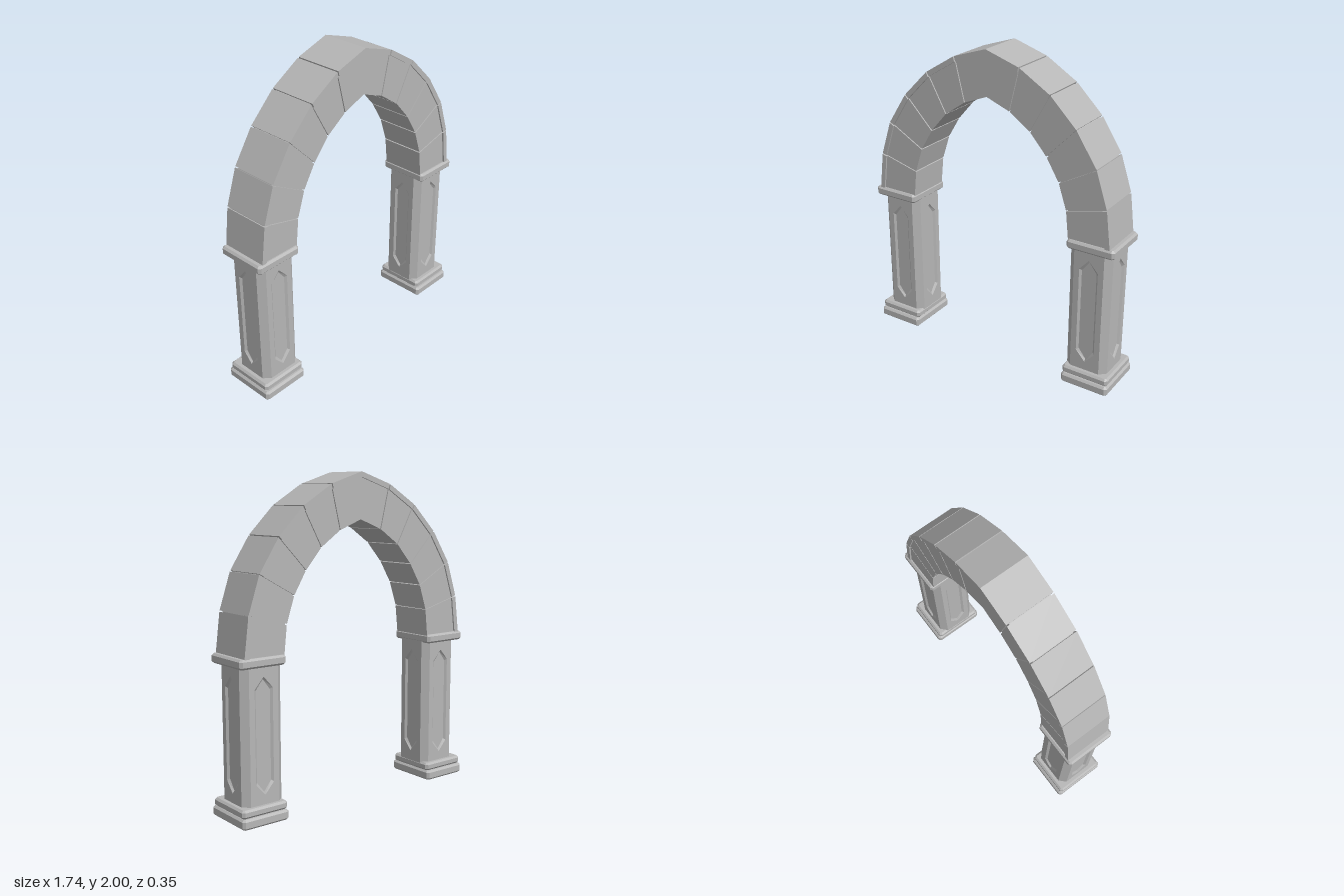
import * as THREE from 'three';

const stone = new THREE.MeshStandardMaterial({ color: 0xb6b6b6, flatShading: true });
stone.name = 'grey stone';

const V = (x, y) => new THREE.Vector2(x, y);
const mix = (a, b, t) => a.clone().lerp(b, t);

function add(parent, geometry, name) {
  const mesh = new THREE.Mesh(geometry, stone);
  mesh.name = name;
  parent.add(mesh);
  return mesh;
}

// Polygon extruded evenly to both sides of z = 0
function slab(points, halfDepth) {
  const g = new THREE.ExtrudeGeometry(new THREE.Shape(points), { depth: halfDepth * 2, bevelEnabled: false });
  return g.translate(0, 0, -halfDepth);
}

// Block with all edges chamfered, centred in x and z, standing on y0
function chamferedBlock(w, d, y0, y1, b = 0.012) {
  const x = w / 2 - b, z = d / 2 - b, c = 0.008;
  const shape = new THREE.Shape([
    V(x, -z + c), V(x, z - c), V(x - c, z), V(-x + c, z),
    V(-x, z - c), V(-x, -z + c), V(-x + c, -z), V(x - c, -z),
  ]);
  const g = new THREE.ExtrudeGeometry(shape, {
    depth: y1 - y0 - 2 * b, bevelThickness: b, bevelSize: b, bevelSegments: 1,
  });
  return g.rotateX(-Math.PI / 2).translate(0, y0 + b, 0);
}

// Long hexagon with pointed ends
function panelOutline(w, y0, y1, point) {
  return [V(w, y0 + point), V(w, y1 - point), V(0, y1), V(-w, y1 - point), V(-w, y0 + point), V(0, y0)];
}

// Sloping wall between a front outline and a deeper outline
function panelWall(front, back, depth) {
  const pos = [];
  front.forEach((a, i) => {
    const j = (i + 1) % front.length;
    const A = [a.x, a.y, 0], B = [front[j].x, front[j].y, 0];
    const C = [back[j].x, back[j].y, -depth], D = [back[i].x, back[i].y, -depth];
    pos.push(...A, ...B, ...C, ...A, ...C, ...D);
  });
  const g = new THREE.BufferGeometry();
  g.setAttribute('position', new THREE.Float32BufferAttribute(pos, 3));
  g.computeVertexNormals();
  return g;
}

// Eight-sided shaft with a sunken pointed panel on each broad face
function createShaft() {
  const shaft = new THREE.Group();
  shaft.name = 'shaft';
  const half = 0.137, flat = 0.097, y0 = 0.09, y1 = 0.93, depth = 0.012;
  const rim = panelOutline(0.061, 0.168, 0.858, 0.068);
  const floor = panelOutline(0.048, 0.184, 0.842, 0.062);
  const face = new THREE.Shape([V(-flat, y0), V(flat, y0), V(flat, y1), V(-flat, y1)]);
  face.holes.push(new THREE.Path(rim));
  const faceGeometry = new THREE.ShapeGeometry(face);
  const floorGeometry = new THREE.ShapeGeometry(new THREE.Shape(floor)).translate(0, 0, -depth);
  const wallGeometry = panelWall(rim, floor, depth);
  const cornerGeometry = new THREE.PlaneGeometry((half - flat) * Math.SQRT2, y1 - y0);
  const cornerRadius = (half + flat) / Math.SQRT2;
  for (let i = 0; i < 4; i++) {
    const side = new THREE.Group();
    side.name = 'shaftSide';
    side.rotation.y = i * Math.PI / 2;
    for (const [g, name] of [[faceGeometry, 'shaftFace'], [wallGeometry, 'panelEdge'], [floorGeometry, 'panel']]) {
      add(side, g, name).position.z = half;
    }
    const corner = add(side, cornerGeometry, 'shaftCorner');
    corner.rotation.y = Math.PI / 4;
    corner.position.set(cornerRadius / Math.SQRT2, (y0 + y1) / 2, cornerRadius / Math.SQRT2);
    shaft.add(side);
  }
  shaft.scale.z = 0.96;
  return shaft;
}

function createColumn(side) {
  const column = new THREE.Group();
  column.name = side > 0 ? 'leftColumn' : 'rightColumn';
  const shaft = createShaft();
  shaft.position.x = side * 0.695;
  column.add(shaft);
  // Plinth and cap overhang the shaft on the outside only
  add(column, chamferedBlock(0.315, 0.35, 0.0, 0.062), 'plinth').position.x = side * 0.7125;
  add(column, chamferedBlock(0.309, 0.325, 0.062, 0.112), 'plinthStep').position.x = side * 0.7105;
  add(column, chamferedBlock(0.309, 0.325, 0.915, 0.972), 'cap').position.x = side * 0.7095;
  return column;
}

// Joint ends of the arch stones, from crown to springing
const OUTER = [V(0, 2), V(0.222, 1.928), V(0.425, 1.804), V(0.595, 1.635), V(0.727, 1.433), V(0.802, 1.208), V(0.833, 0.96)];
const INNER = [V(0, 1.72), V(0.156, 1.66), V(0.294, 1.565), V(0.405, 1.438), V(0.488, 1.3), V(0.541, 1.14), V(0.56, 0.96)];
const RIM = 0.115;

// Stone with a raised rim along its outer edge
function createStone(outer, inner, name) {
  const group = new THREE.Group();
  group.name = name;
  const middle = outer.map((p, i) => mix(p, inner[i], RIM));
  add(group, slab([...middle, ...[...inner].reverse()], 0.143), 'stoneBody');
  add(group, slab([...outer, ...[...middle].reverse()], 0.153), 'stoneRim');
  return group;
}

// Shorten the ends of a run of points to leave open joints
function trim(points, gap = 0.004) {
  const n = points.length - 1;
  const pull = (a, b) => mix(a, b, gap / a.distanceTo(b));
  return points.map((p, i) => (i === 0 ? pull(p, points[1]) : i === n ? pull(p, points[n - 1]) : p));
}

const flip = (points, side) => points.map((p) => V(p.x * side, p.y));
const acrossCrown = (points) => [V(-points[1].x, points[1].y), points[0], points[1]];

function createArch() {
  const arch = new THREE.Group();
  arch.name = 'arch';
  arch.add(createStone(trim(acrossCrown(OUTER)), trim(acrossCrown(INNER)), 'keystone'));
  for (const side of [1, -1]) {
    for (let i = 1; i < OUTER.length - 1; i++) {
      const o = trim(OUTER.slice(i, i + 2)), n = trim(INNER.slice(i, i + 2));
      arch.add(createStone(flip(o, side), flip(n, side), 'archStone'));
    }
    // Core closing the joints behind the faces
    const coreOuter = OUTER.map((p, i) => mix(p, INNER[i], 0.035));
    const coreInner = INNER.map((p, i) => mix(p, OUTER[i], 0.03));
    add(arch, slab(flip([...coreOuter, ...coreInner.reverse()], side), 0.135), 'archCore');
  }
  return arch;
}

export function createModel() {
  const model = new THREE.Group();
  model.name = 'stoneArchway';
  model.add(createColumn(1), createColumn(-1), createArch());
  return model;
}
